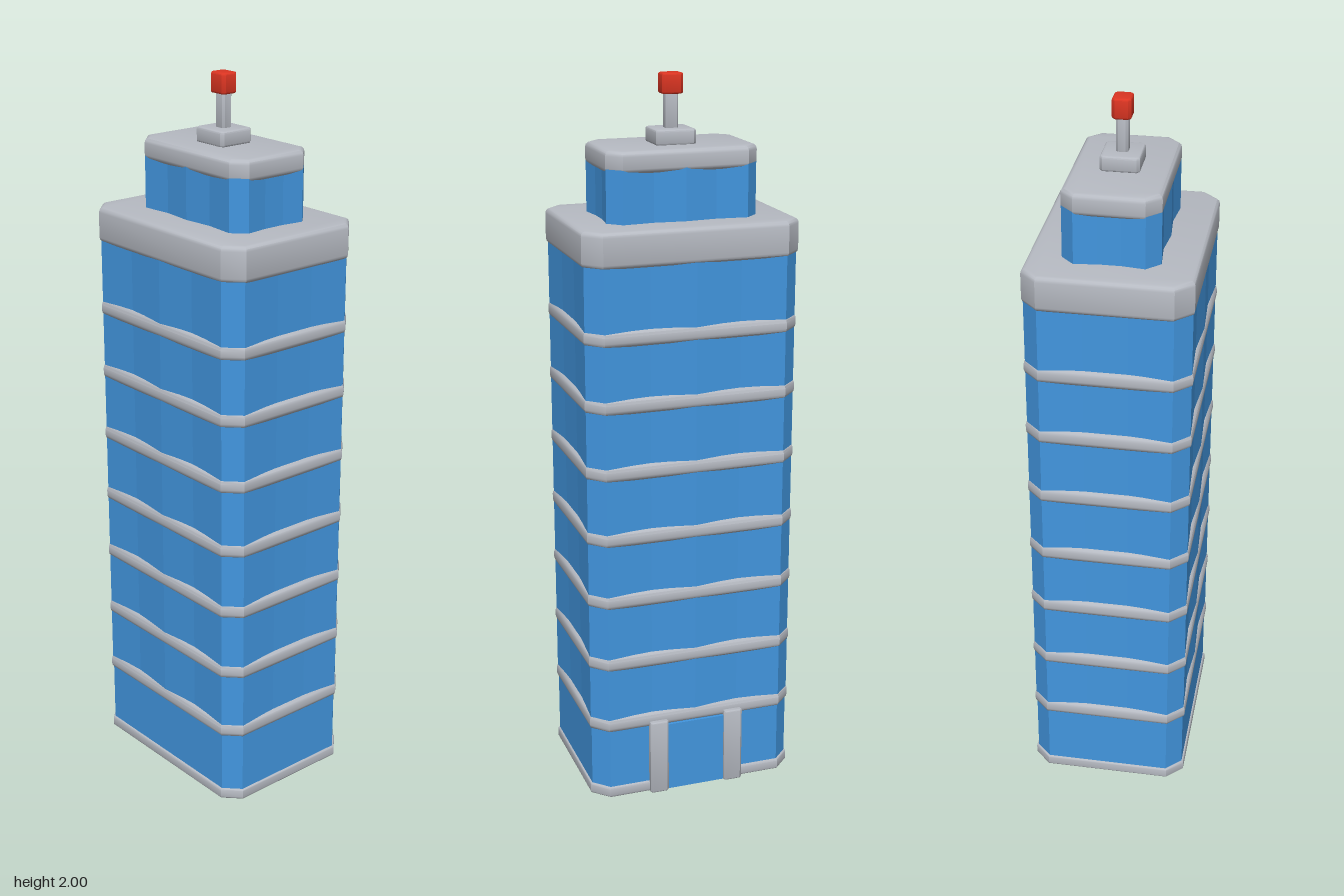
import * as THREE from 'three';
import { toCreasedNormals } from 'three/addons/utils/BufferGeometryUtils.js';

const CX = -0.0075;

// chamfered rectangle, corners listed from +x towards +z
function octagon(w, d, c) {
  const x = w / 2, z = d / 2;
  return [[x, -z + c], [x, z - c], [x - c, z], [-x + c, z],
    [-x, z - c], [-x, -z + c], [-x + c, -z], [x - c, -z]].map(([a, b]) => new THREE.Vector2(a, b));
}

// horizontal slab with rounded edges; hole > 0 turns it into a ring
function slabGeometry(w, d, c, h, bevel, hole = 0) {
  const shape = new THREE.Shape(octagon(w - 2 * bevel, d - 2 * bevel, c - bevel * 0.6));
  if (hole) shape.holes.push(new THREE.Path(octagon(w - 2 * hole, d - 2 * hole, c - hole * 0.6).reverse()));
  const g = new THREE.ExtrudeGeometry(shape, {
    depth: h - 2 * bevel, bevelEnabled: true, bevelSize: bevel, bevelThickness: bevel, bevelSegments: 3,
  });
  g.translate(0, 0, bevel);
  g.rotateX(-Math.PI / 2);
  return toCreasedNormals(g, 0.6);
}

// outline with gently folded window panels on the long sides of the octagon
function foldedOutline(w, d, c, fold) {
  const corners = octagon(w, d, c), out = [];
  corners.forEach((a, i) => {
    const b = corners[(i + 1) % 8];
    const panels = i % 2 ? 1 : (i % 4 === 0 ? 4 : 3);
    const dir = b.clone().sub(a).normalize();
    for (let k = 0; k < panels; k++) {
      const p = a.clone().lerp(b, k / panels);
      if (k > 0 && (k % 2 || panels === 3)) p.add(new THREE.Vector2(-dir.y, dir.x).multiplyScalar(fold));
      out.push(p);
    }
  });
  return out;
}

// open vertical wall following an outline
function wallGeometry(points, y0, y1) {
  const pos = [];
  points.forEach((a, i) => {
    const b = points[(i + 1) % points.length];
    pos.push(a.x, y0, a.y, a.x, y1, a.y, b.x, y1, b.y);
    pos.push(a.x, y0, a.y, b.x, y1, b.y, b.x, y0, b.y);
  });
  const g = new THREE.BufferGeometry();
  g.setAttribute('position', new THREE.Float32BufferAttribute(pos, 3));
  g.computeVertexNormals();
  return g;
}

export function createModel() {
  const glass = new THREE.MeshStandardMaterial({ color: 0x4296df, side: THREE.DoubleSide });
  glass.name = 'blue glass';
  const concrete = new THREE.MeshStandardMaterial({ color: 0xb6bac2 });
  concrete.name = 'grey concrete';
  const red = new THREE.MeshStandardMaterial({ color: 0xdc3522 });
  red.name = 'beacon red';

  const model = new THREE.Group();
  model.name = 'officeTower';
  const add = (name, geometry, material, x = CX, y = 0, z = 0) => {
    const m = new THREE.Mesh(geometry, material);
    m.name = name;
    m.position.set(x, y, z);
    model.add(m);
    return m;
  };

  // base ring and plain ground floor, hollow underneath
  add('baseRing', slabGeometry(0.445, 0.60, 0.045, 0.032, 0.006, 0.025), concrete);
  add('groundFloorWall', wallGeometry(octagon(0.434, 0.59, 0.042), 0.02, 0.23), glass);

  // entrance on the left side
  add('entranceDoor', new THREE.BoxGeometry(0.008, 0.205, 0.19), glass, 0.214, 0.1025, 0);
  for (const s of [-1, 1]) {
    add('entrancePillar', slabGeometry(0.03, 0.054, 0.006, 0.222, 0.004), concrete, 0.215, 0, s * 0.111);
  }

  // window storeys separated by ledges
  const ledges = [0.225, 0.412, 0.599, 0.782, 0.97, 1.157, 1.342];
  const storey = foldedOutline(0.438, 0.594, 0.043, 0.007);
  ledges.forEach((y, i) => {
    add('floorLedge', slabGeometry(0.445, 0.60, 0.045, 0.046, 0.015, 0.04), concrete, CX, y - 0.023);
    add('windowStorey', wallGeometry(storey, y, i < 6 ? ledges[i + 1] : 1.54), glass);
  });
  add('mainRoof', slabGeometry(0.445, 0.605, 0.046, 0.098, 0.014), concrete, CX, 1.528);

  // penthouse
  const px = -0.004;
  add('penthouseWindows', wallGeometry(foldedOutline(0.257, 0.42, 0.036, 0.008), 1.62, 1.77), glass, px);
  add('penthouseRoof', slabGeometry(0.258, 0.422, 0.037, 0.06, 0.014), concrete, px, 1.756);

  // mast with beacon
  add('mastBase', slabGeometry(0.104, 0.112, 0.008, 0.042, 0.006), concrete, px, 1.814);
  add('mast', slabGeometry(0.032, 0.036, 0.006, 0.1, 0.003), concrete, px, 1.852);
  add('beacon', slabGeometry(0.05, 0.058, 0.008, 0.055, 0.005), red, px, 1.945);

  return model;
}
